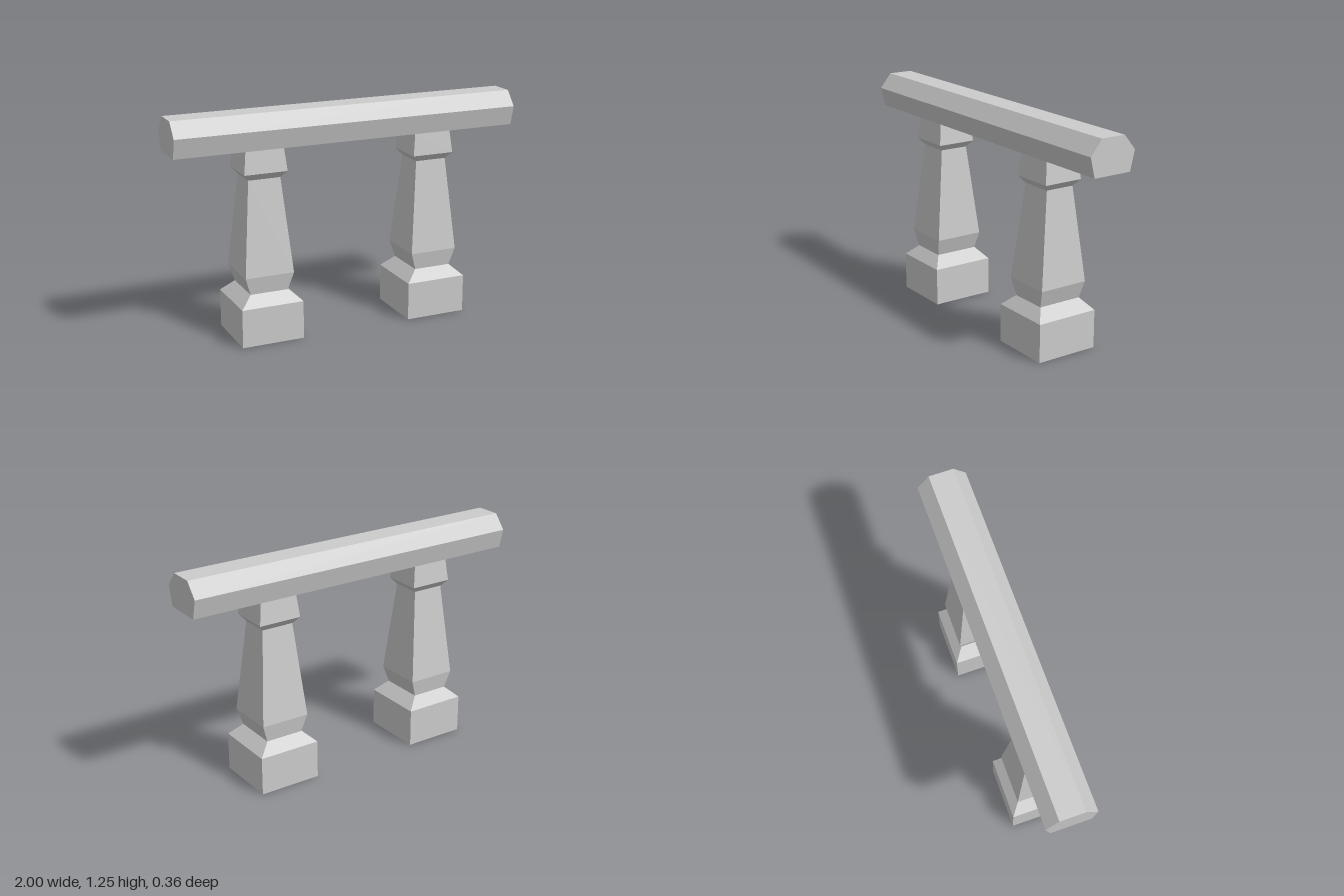
import * as THREE from 'three';

const material = new THREE.MeshStandardMaterial({ color: 0xcccccc, flatShading: true });

// Baluster sections from the ground up: [height, half width in x, half depth in z]
const SECTIONS = [
  [0, 0, 0],
  [0, 0.177, 0.181],
  [0.215, 0.177, 0.181],
  [0.277, 0.108, 0.127],
  [0.375, 0.139, 0.142],
  [0.9, 0.091, 0.083],
  [0.937, 0.122, 0.113],
  [1.063, 0.108, 0.099],
  [1.063, 0, 0],
];

// Four-sided lathe whose corners are moved to the rectangular sections
function balusterGeometry() {
  const profile = SECTIONS.map(([y, hx]) => new THREE.Vector2(hx, y));
  const lathe = new THREE.LatheGeometry(profile, 4, Math.PI / 4);
  const pos = lathe.attributes.position;
  for (let i = 0; i < pos.count; i++) {
    const [y, hx, hz] = SECTIONS[i % SECTIONS.length];
    pos.setXYZ(i, Math.sign(pos.getX(i)) * hx, y, Math.sign(pos.getZ(i)) * hz);
  }
  const geometry = lathe.toNonIndexed();
  geometry.computeVertexNormals();
  return geometry;
}

// Six-sided rail profile extruded along x
function railGeometry() {
  const shape = new THREE.Shape([
    [-0.111, 1.063], [0.111, 1.063], [0.138, 1.172],
    [0.07, 1.254], [-0.07, 1.254], [-0.138, 1.172],
  ].map(([z, y]) => new THREE.Vector2(z, y)));
  const geometry = new THREE.ExtrudeGeometry(shape, { depth: 2, bevelEnabled: false });
  return geometry.translate(0, 0, -1).rotateY(Math.PI / 2);
}

export function createModel() {
  const model = new THREE.Group();
  model.name = 'balustrade';

  const rail = new THREE.Mesh(railGeometry(), material);
  rail.name = 'handrail';
  model.add(rail);

  // Pair of balusters
  const geometry = balusterGeometry();
  for (const side of [-1, 1]) {
    const baluster = new THREE.Mesh(geometry, material);
    baluster.name = side > 0 ? 'leftBaluster' : 'rightBaluster';
    baluster.position.x = side * 0.499;
    model.add(baluster);
  }
  return model;
}
